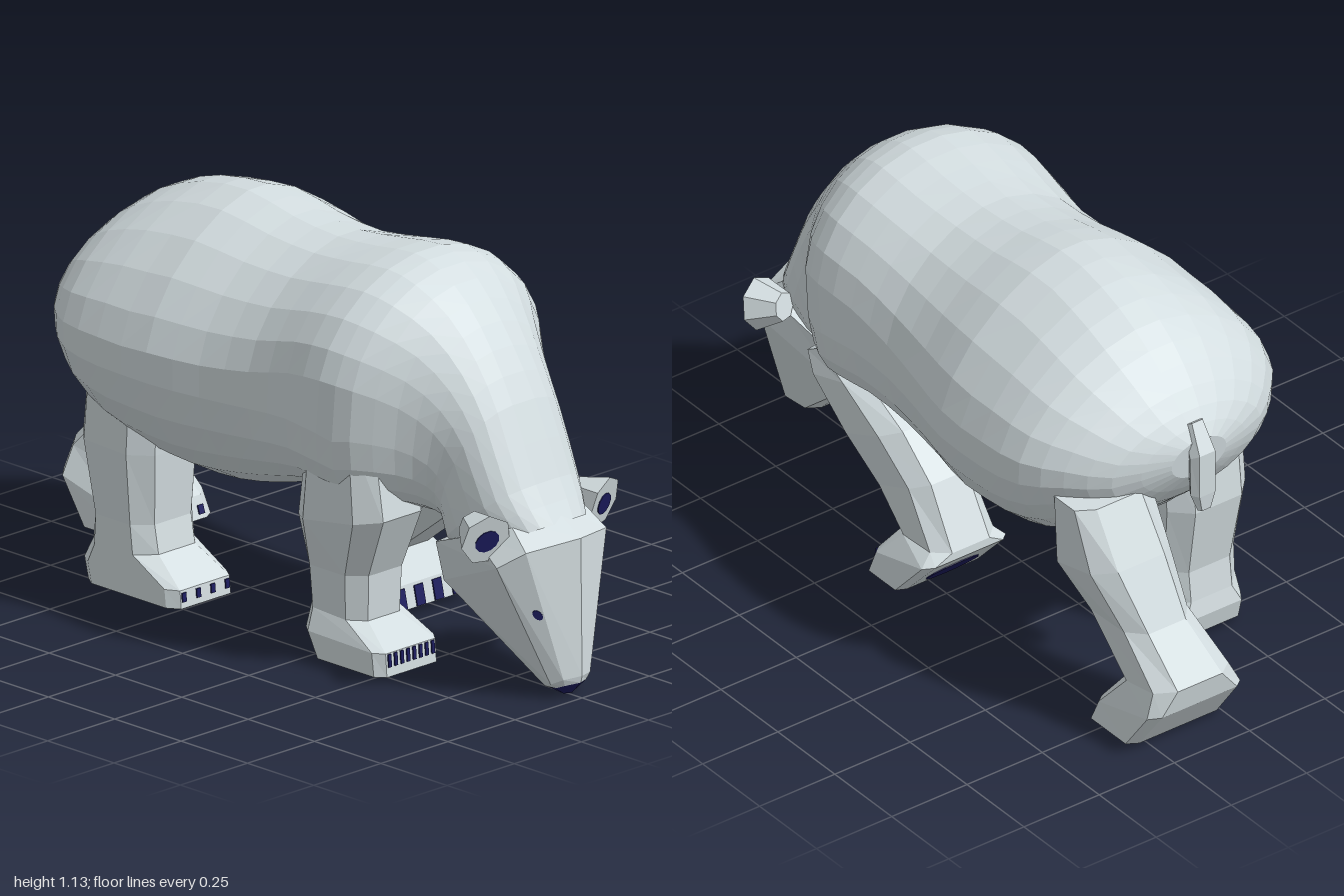
import * as THREE from 'three';

const fur = new THREE.MeshStandardMaterial({ color: 0xd3dde0, flatShading: true });
fur.name = 'pale grey fur';
const dark = new THREE.MeshStandardMaterial({ color: 0x1c1c5e, flatShading: true });
dark.name = 'dark navy';

// Cross-section between a front (or top) point and a back (or bottom) point, each [z, y].
// e and eb below 1 make the front and back halves boxier.
function ring(f, b, x, rx, n = 8, e = 0.6, eb = e) {
  return Array.from({ length: n }, (_, k) => {
    const t = ((k + 0.5) / n) * Math.PI * 2;
    const power = Math.cos(t) < 0 ? eb : e;
    const max = Math.cos(Math.PI / n) ** power;
    const part = (v) => (Math.sign(v) * Math.abs(v) ** power) / max;
    const s = part(Math.sin(t)), c = (part(Math.cos(t)) + 1) / 2;
    return [x + rx * s, b[1] + (f[1] - b[1]) * c, b[0] + (f[0] - b[0]) * c];
  });
}

// Symmetric section from its left half; first and last points lie on the middle line
const mirrored = (half) => [...half, ...half.slice(1, -1).reverse().map(([x, y, z]) => [-x, y, z])];

// Closed skin over a row of sections
function loft(name, rings, material) {
  const n = rings[0].length, last = rings.length - 1, index = [];
  const mid = (r) => [0, 1, 2].map((a) => r.reduce((s, p) => s + p[a], 0) / n);
  const points = [...rings.flat(), mid(rings[0]), mid(rings[last])];
  const c0 = n * (last + 1);
  for (let k = 0; k < n; k++) {
    const m = (k + 1) % n;
    for (let i = 0; i < last; i++) {
      const a = i * n, b = a + n;
      index.push(a + k, b + k, b + m, a + k, b + m, a + m);
    }
    index.push(c0, k, m, c0 + 1, last * n + m, last * n + k);
  }
  const g = new THREE.BufferGeometry();
  g.setAttribute('position', new THREE.Float32BufferAttribute(points.flat(), 3));
  g.setIndex(index);
  const flat = g.toNonIndexed();
  flat.computeVertexNormals();
  const mesh = new THREE.Mesh(flat, material);
  mesh.name = name;
  return mesh;
}

// Thin dark oval lying on a surface
function spot(name, pos, normal, rx, rz) {
  const mesh = new THREE.Mesh(new THREE.CylinderGeometry(1, 1, 0.005, 12), dark);
  mesh.name = name;
  mesh.scale.set(rx, 1, rz);
  mesh.position.set(...pos);
  mesh.quaternion.setFromUnitVectors(new THREE.Vector3(0, 1, 0), new THREE.Vector3(...normal).normalize());
  return mesh;
}

// Leg: rows of [front, back, x, half width]; the last two rows form the boxy foot
function leg(name, rows, pad, claw) {
  const group = new THREE.Group();
  group.name = name;
  const n = rows.length;
  group.add(loft(name + 'Limb', rows.map((r, i) => ring(...r, 8, i > n - 3 ? 0.25 : 0.6)), fur));
  const [[z1, y1]] = rows[n - 2], [[z0, y0], , x, rx] = rows[n - 1];
  const len = Math.hypot(z1 - z0, y1 - y0);
  for (let i = 0; i < claw.count; i++) {
    // claws on the toe face
    const u = (i / (claw.count - 1)) * 2 - 1;
    const mesh = new THREE.Mesh(new THREE.BoxGeometry(claw.width, len * claw.height, 0.008), dark);
    mesh.name = 'claw';
    mesh.position.set(x + u * rx * 0.7, y0 + (y1 - y0) * claw.at, z0 + (z1 - z0) * claw.at);
    mesh.rotation.x = Math.atan2(z1 - z0, y1 - y0);
    group.add(mesh);
    // toe pads under the foot
    if (pad.toe) group.add(spot('toePad', [x + u * rx * 0.7, y0, z0 - 0.05], [0, -1, 0], pad.toe, 0.022));
  }
  group.add(spot('solePad', pad.pos, pad.normal, pad.rx, pad.rz));
  return group;
}

export function createModel() {
  const bear = new THREE.Group();
  bear.name = 'bear';

  // Body and neck, rump to head: top, bottom, half width, boxiness above and below
  const body = [
    [[-0.785, 0.82], [-0.77, 0.70], 0.09, 1, 1],
    [[-0.74, 0.89], [-0.70, 0.60], 0.245, 1.05, 1],
    [[-0.66, 0.98], [-0.62, 0.53], 0.345, 1.1, 1],
    [[-0.55, 1.06], [-0.52, 0.44], 0.415, 1.15, 1],
    [[-0.40, 1.115], [-0.38, 0.375], 0.432, 1.2, 1],
    [[-0.22, 1.135], [-0.20, 0.35], 0.428, 1.2, 1],
    [[-0.05, 1.105], [-0.05, 0.365], 0.39, 1.15, 0.95],
    [[0.12, 1.09], [0.10, 0.41], 0.365, 1.1, 0.8],
    [[0.28, 1.105], [0.24, 0.455], 0.37, 1, 0.65],
    [[0.42, 1.12], [0.36, 0.465], 0.38, 1, 0.55],
    [[0.51, 1.095], [0.46, 0.465], 0.35, 1, 0.55],
    [[0.61, 1.02], [0.54, 0.45], 0.27, 0.95, 0.65],
    [[0.70, 0.91], [0.59, 0.43], 0.215, 0.85, 0.75],
    [[0.78, 0.78], [0.60, 0.41], 0.19, 0.75, 0.8],
    [[0.87, 0.58], [0.60, 0.37], 0.18, 0.7, 0.8],
    [[0.93, 0.48], [0.62, 0.34], 0.15, 0.7, 0.8],
  ];
  const curve = (pick) => new THREE.CatmullRomCurve3(body.map((r) => new THREE.Vector3(...pick(r))));
  const tops = curve(([t, , w]) => [...t, w]);
  const bottoms = curve(([, b, w]) => [...b, w]);
  const shape = curve(([, , , e, eb]) => [e, eb, 0]);
  const steps = (body.length - 1) * 2;
  bear.add(loft('body', Array.from({ length: steps + 1 }, (_, i) => {
    const t = tops.getPoint(i / steps), b = bottoms.getPoint(i / steps), s = shape.getPoint(i / steps);
    return ring([t.x, t.y], [b.x, b.y], 0, t.z, 24, s.x, s.y);
  }), fur));

  // Head, hanging down from the neck to the muzzle
  const tip = mirrored([[0, 0.045, 0.995], [0.04, 0.04, 0.975], [0.05, 0.03, 0.95], [0.03, 0.018, 0.905], [0, 0.016, 0.89]]);
  bear.add(loft('head', [
    mirrored([[0, 0.52, 0.88], [0.13, 0.5, 0.85], [0.185, 0.45, 0.78], [0.15, 0.38, 0.6], [0, 0.38, 0.58]]),
    mirrored([[0, 0.45, 0.995], [0.15, 0.43, 0.94], [0.2, 0.385, 0.88], [0.13, 0.27, 0.61], [0, 0.27, 0.59]]),
    mirrored([[0, 0.065, 1.0], [0.05, 0.06, 0.98], [0.068, 0.045, 0.95], [0.04, 0.022, 0.9], [0, 0.018, 0.88]]),
    tip,
  ], fur));
  bear.add(loft('nose', [tip, tip.map(([x, y, z]) => [x * 0.3, y * 0.2, 0.94 + (z - 0.94) * 0.4])], dark));

  // Eyes and ears
  for (const s of [1, -1]) {
    bear.add(spot('eye', [s * 0.113, 0.25, 0.947], [s * 0.7, -0.11, 0.7], 0.011, 0.017));
    const ear = new THREE.Group();
    ear.name = s > 0 ? 'leftEar' : 'rightEar';
    const cup = new THREE.Mesh(new THREE.CylinderGeometry(0.074, 0.04, 0.085, 7).rotateX(Math.PI / 2), fur);
    cup.name = 'earCup';
    ear.add(cup, spot('earInside', [0, -0.005, 0.0425], [0, 0, 1], 0.036, 0.031));
    ear.position.set(s > 0 ? 0.215 : -0.2, 0.472, 0.815);
    ear.rotation.set(0.25, s * 0.3, -s * 0.5);
    bear.add(ear);
  }

  // Tail
  bear.add(loft('tail', [
    ring([-0.73, 0.85], [-0.77, 0.87], 0, 0.025, 6),
    ring([-0.765, 0.76], [-0.815, 0.79], 0, 0.036, 6),
    ring([-0.77, 0.66], [-0.815, 0.66], 0, 0.036, 6),
    ring([-0.79, 0.61], [-0.81, 0.61], 0, 0.02, 6),
  ], fur));

  // Legs, caught in mid-stride
  const down = [0, -1, 0];
  bear.add(leg('leftFrontLeg', [
    [[0.55, 0.51], [0.46, 0.565], 0.22, 0.09],
    [[0.52, 0.47], [0.30, 0.54], 0.225, 0.11],
    [[0.38, 0.35], [0.14, 0.46], 0.225, 0.11],
    [[0.25, 0.25], [0.03, 0.345], 0.22, 0.10],
    [[0.14, 0.165], [-0.06, 0.175], 0.215, 0.105],
    [[0.19, 0.085], [-0.06, 0.15], 0.22, 0.14],
    [[0.205, 0.02], [0.06, 0.02], 0.22, 0.145],
  ], { pos: [0.22, 0.068, 0.0157], normal: [0, -0.68, -0.73], rx: 0.085, rz: 0.052, toe: 0.028 },
  { count: 4, width: 0.032, height: 0.85, at: 0.45 }));

  bear.add(leg('rightFrontLeg', [
    [[0.50, 0.70], [0.26, 0.70], -0.22, 0.11],
    [[0.54, 0.45], [0.22, 0.40], -0.215, 0.12],
    [[0.45, 0.27], [0.225, 0.27], -0.19, 0.105],
    [[0.44, 0.14], [0.23, 0.15], -0.185, 0.1],
    [[0.55, 0.085], [0.25, 0.09], -0.195, 0.115],
    [[0.555, 0.02], [0.29, 0.02], -0.195, 0.115],
  ], { pos: [-0.195, 0.02, 0.44], normal: down, rx: 0.06, rz: 0.045 },
  { count: 8, width: 0.011, height: 0.55, at: 0.68 }));

  bear.add(leg('leftHindLeg', [
    [[-0.58, 0.69], [-0.73, 0.69], 0.23, 0.125],
    [[-0.565, 0.47], [-0.815, 0.53], 0.22, 0.13],
    [[-0.65, 0.35], [-0.895, 0.36], 0.195, 0.105],
    [[-0.80, 0.19], [-1.0, 0.225], 0.165, 0.125],
    [[-0.72, 0.08], [-0.985, 0.15], 0.155, 0.155],
    [[-0.70, 0.02], [-0.89, 0.02], 0.155, 0.16],
  ], { pos: [0.15, 0.02, -0.84], normal: down, rx: 0.09, rz: 0.045 },
  { count: 4, width: 0.02, height: 0.4, at: 0.4 }));

  bear.add(leg('rightHindLeg', [
    [[-0.32, 0.62], [-0.58, 0.62], -0.2, 0.13],
    [[-0.33, 0.42], [-0.60, 0.43], -0.2, 0.13],
    [[-0.345, 0.22], [-0.565, 0.22], -0.195, 0.115],
    [[-0.33, 0.14], [-0.575, 0.13], -0.195, 0.115],
    [[-0.225, 0.07], [-0.585, 0.08], -0.195, 0.115],
    [[-0.22, 0.02], [-0.57, 0.02], -0.195, 0.115],
  ], { pos: [-0.195, 0.02, -0.39], normal: down, rx: 0.065, rz: 0.05 },
  { count: 4, width: 0.015, height: 0.5, at: 0.6 }));

  return bear;
}
